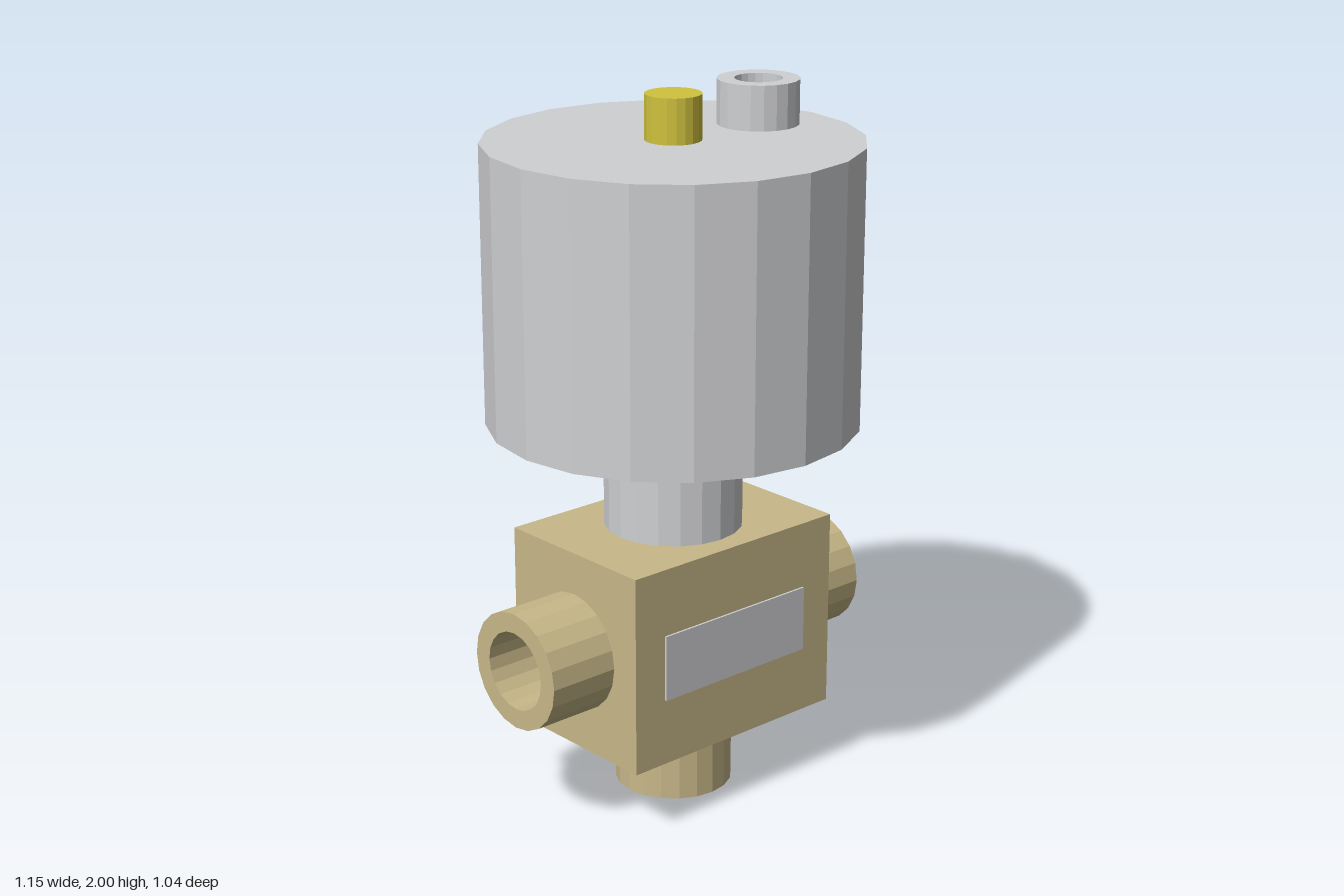
import * as THREE from 'three';

const SIDES = 20;

export function createModel() {
  const material = (name, color) => {
    const m = new THREE.MeshStandardMaterial({ color });
    m.name = name;
    return m;
  };
  const steel = material('steel', 0xcfd0d2);
  const brass = material('brass', 0xc8b889);
  const yellow = material('yellow', 0xd0c23e);

  const model = new THREE.Group();
  model.name = 'solenoidValve';

  const add = (name, geometry, mat, x, y, z) => {
    const faceted = geometry.index ? geometry.toNonIndexed() : geometry;
    faceted.computeVertexNormals();
    const mesh = new THREE.Mesh(faceted, mat);
    mesh.name = name;
    mesh.position.set(x, y, z);
    model.add(mesh);
    return mesh;
  };

  // Solid upright cylinder between two heights
  const rod = (name, r, y0, y1, mat) =>
    add(name, new THREE.CylinderGeometry(r, r, y1 - y0, SIDES), mat, 0, (y0 + y1) / 2, 0);

  // Open-bored tube rising from its base along +y
  const pipe = (outer, inner, length) => new THREE.LatheGeometry([
    new THREE.Vector2(outer, 0),
    new THREE.Vector2(outer, length),
    new THREE.Vector2(inner, length),
    new THREE.Vector2(inner, 0),
  ], SIDES);

  // Valve body and label plate
  add('valveBody', new THREE.BoxGeometry(0.73, 0.575, 0.515), brass, 0, 0.4975, 0);
  add('labelPlate', new THREE.BoxGeometry(0.52, 0.19, 0.008), steel, 0, 0.497, 0.2595);

  // Three ports, with the body closing each bore
  const port = () => pipe(0.168, 0.112, 0.21);
  add('leftPort', port(), brass, 0.365, 0.497, 0).rotation.z = -Math.PI / 2;
  add('rightPort', port(), brass, -0.365, 0.497, 0).rotation.z = Math.PI / 2;
  add('bottomPort', port(), brass, 0, 0.21, 0).rotation.z = Math.PI;

  // Stem, coil housing and the fittings on its lid
  rod('stem', 0.195, 0.785, 1.09, steel);
  rod('coilHousing', 0.52, 1.09, 1.875, steel);
  rod('topButton', 0.078, 1.875, 2, yellow);
  add('cableConduit', pipe(0.115, 0.067, 0.125), steel, 0.312, 1.875, 0);

  return model;
}
